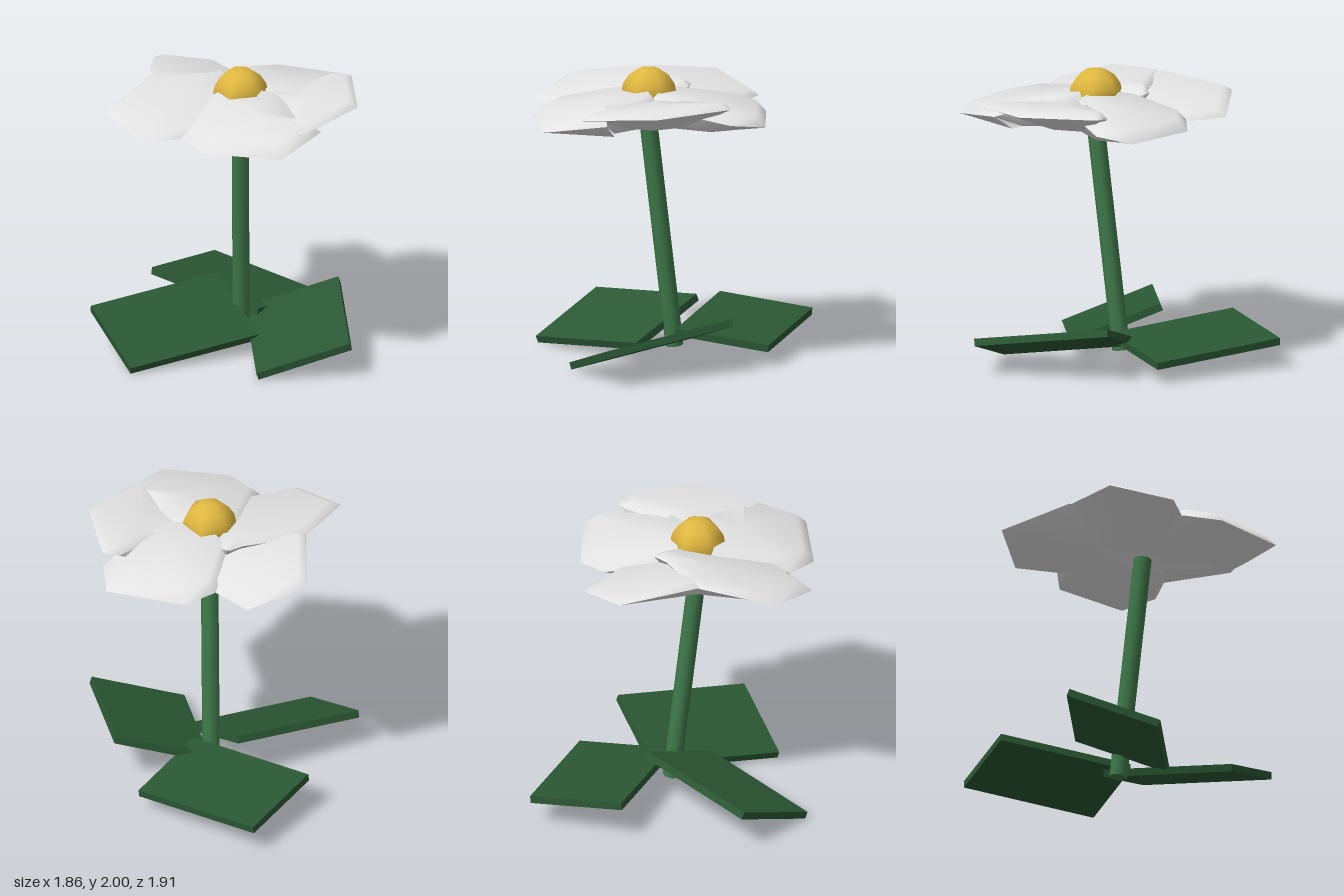
import * as THREE from 'three';

const V = (x, y, z) => new THREE.Vector3(x, y, z);
const CX = 0.038, CZ = 0.175; // middle of the flower head

// Petal: a thin cushion on a tilted rim, y = y0 + a*x + b*(z - CZ).
// Its underside slopes in from the rim to a flat floor around the flower's middle.
function petalGeometry({ outline, y0, a, b, height, floor, floorScale }) {
  const area = outline.reduce((s, [x, z], i) => {
    const [x2, z2] = outline[(i + 1) % outline.length];
    return s + x * z2 - x2 * z;
  }, 0);
  const pts = area > 0 ? [...outline].reverse() : outline;
  const n = pts.length;
  const mx = pts.reduce((s, p) => s + p[0], 0) / n;
  const mz = pts.reduce((s, p) => s + p[1], 0) / n;
  const rimY = (x, z) => y0 + a * x + b * (z - CZ);
  const pos = [], idx = [];

  // One side of the cushion: rim ring, ring scaled about (ox, oz), centre point
  const addSide = (ox, oz, scale, surface, up) => {
    const start = pos.length / 3;
    const inner = (x, z) => {
      const px = ox + (x - ox) * scale, pz = oz + (z - oz) * scale;
      pos.push(px, surface(px, pz), pz);
    };
    pts.forEach(([x, z]) => pos.push(x, rimY(x, z), z));
    pts.forEach(([x, z]) => inner(x, z));
    inner(mx, mz);
    const tri = (p, q, r) => (up ? idx.push(p, q, r) : idx.push(p, r, q));
    for (let i = 0; i < n; i++) {
      const r0 = start + i, r1 = start + ((i + 1) % n);
      tri(r0, r1, r1 + n);
      tri(r0, r1 + n, r0 + n);
      tri(start + 2 * n, r0 + n, r1 + n);
    }
  };
  addSide(mx, mz, 0.84, (x, z) => rimY(x, z) + height, true);
  addSide(CX, CZ, floorScale, () => floor, false);

  const g = new THREE.BufferGeometry();
  g.setAttribute('position', new THREE.Float32BufferAttribute(pos, 3));
  g.setIndex(idx);
  g.computeVertexNormals();
  return g;
}

// Leaf: a slab whose top face has corner c and neighbouring corners p and q.
function leafMesh(c, p, q, material) {
  const t = 0.05;
  const u = p.clone().sub(c), v = q.clone().sub(c);
  const mesh = new THREE.Mesh(new THREE.BoxGeometry(u.length(), t, v.length()), material);
  const ux = u.clone().normalize();
  const ny = v.clone().cross(u).normalize();
  if (ny.y < 0) ny.negate();
  const vz = ux.clone().cross(ny);
  mesh.quaternion.setFromRotationMatrix(new THREE.Matrix4().makeBasis(ux, ny, vz));
  mesh.position.copy(p).add(q).multiplyScalar(0.5).addScaledVector(ny, -t / 2);
  return mesh;
}

export function createModel() {
  const mat = (name, color) => {
    const m = new THREE.MeshStandardMaterial({ color });
    m.name = name;
    return m;
  };
  const stemGreen = mat('stemGreen', 0x3f7a4a);
  const leafGreen = mat('leafGreen', 0x2b5834);
  const petalWhite = mat('petalWhite', 0xe4e4e4);
  const yellow = mat('centreYellow', 0xe0b840);

  const model = new THREE.Group();
  model.name = 'flower';

  // Leaning stem
  const foot = V(-0.016, 0.083, 0), head = V(0.037, 1.645, 0.18);
  const axis = head.clone().sub(foot);
  const stem = new THREE.Mesh(new THREE.CylinderGeometry(0.06, 0.06, axis.length(), 8), stemGreen);
  stem.name = 'stem';
  stem.quaternion.setFromUnitVectors(V(0, 1, 0), axis.clone().normalize());
  stem.position.copy(foot).add(head).multiplyScalar(0.5);
  model.add(stem);

  // Three tilted slab leaves
  const leaves = new THREE.Group();
  leaves.name = 'leaves';
  [
    ['backLeaf', V(-0.52, 0.21, -0.955), V(0.345, 0.15, -0.605), V(-0.765, 0.28, -0.355)],
    ['rightLeaf', V(-0.92, 0.285, 0.465), V(-0.235, 0.38, -0.16), V(-0.49, 0.05, 0.895)],
    ['leftLeaf', V(0.915, 0.255, 0.5), V(0.55, 0.38, -0.35), V(0.335, 0.05, 0.73)],
  ].forEach(([name, c, p, q]) => {
    const leaf = leafMesh(c, p, q, leafGreen);
    leaf.name = name;
    leaves.add(leaf);
  });
  model.add(leaves);

  // Five overlapping petals, outlines as [x, z]
  const petals = new THREE.Group();
  petals.name = 'petals';
  const petalSpecs = {
    frontPetal: {
      outline: [[-0.17, 0.27], [-0.17, 0.79], [0.03, 0.95], [0.57, 0.91], [0.71, 0.5], [0.59, 0.49], [0.4, 0.24], [0.28, 0.14], [-0.04, 0.12]],
      y0: 1.79, a: 0, b: -0.155, height: 0.075, floor: 1.645, floorScale: 0.82,
    },
    frontRightPetal: {
      outline: [[-0.75, 0.68], [-0.4, 0.93], [-0.1, 0.73], [0.06, 0.2], [-0.12, -0.1], [-0.17, -0.12], [-0.24, -0.04], [-0.62, 0.14]],
      y0: 1.765, a: -0.11, b: -0.16, height: 0.05, floor: 1.653, floorScale: 0.62,
    },
    backRightPetal: {
      outline: [[-0.75, -0.36], [-0.4, -0.59], [-0.08, -0.37], [0.06, 0.15], [-0.25, 0.2], [-0.63, 0.17]],
      y0: 1.745, a: -0.155, b: 0.145, height: 0.045, floor: 1.657, floorScale: 0.62,
    },
    backLeftPetal: {
      outline: [[-0.15, -0.45], [0.03, -0.61], [0.57, -0.57], [0.65, -0.33], [0.47, 0], [0.28, 0.16], [0.04, 0.23], [-0.15, 0]],
      y0: 1.79, a: 0, b: 0.135, height: 0.07, floor: 1.649, floorScale: 0.76,
    },
    leftPetal: {
      outline: [[0.86, 0.17], [0.63, 0.66], [0.5, 0.58], [0.05, 0.22], [0.2, 0.1], [0.43, -0.15], [0.54, -0.33], [0.65, -0.33]],
      y0: 1.75, a: 0.075, b: -0.065, height: 0.045, floor: 1.661, floorScale: 0.55,
    },
  };
  for (const [name, spec] of Object.entries(petalSpecs)) {
    const petal = new THREE.Mesh(petalGeometry(spec), petalWhite);
    petal.name = name;
    petals.add(petal);
  }
  model.add(petals);

  // Six-sided domed centre
  const dome = new THREE.SphereGeometry(0.186, 6, 4, 0, Math.PI * 2, 0, Math.PI / 2);
  const centre = new THREE.Mesh(dome, yellow);
  centre.name = 'flowerCentre';
  centre.rotation.y = Math.PI / 2 - 0.09;
  centre.position.set(CX, 1.814, CZ);
  model.add(centre);

  return model;
}
